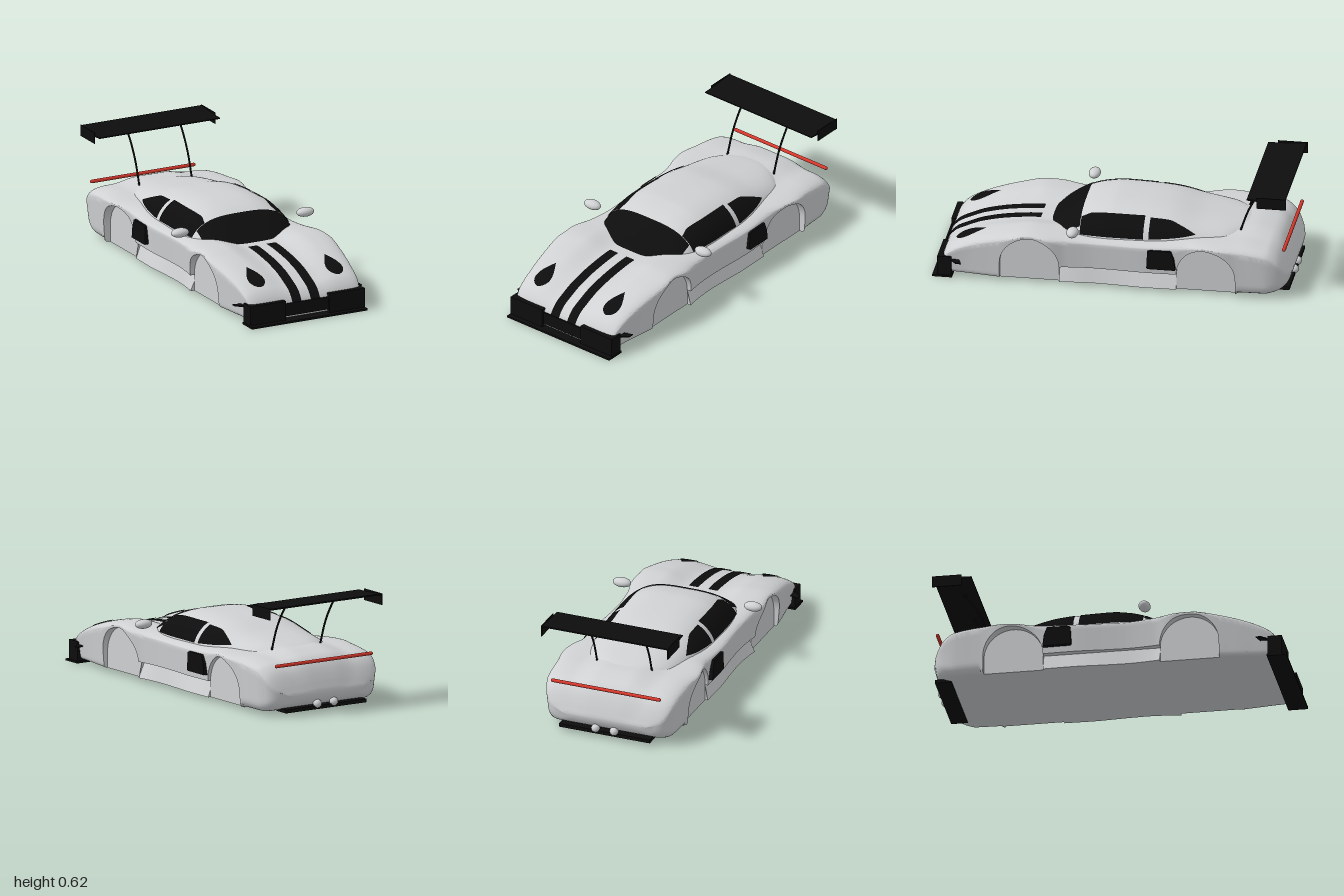
import * as THREE from 'three';
import { toCreasedNormals } from 'three/addons/utils/BufferGeometryUtils.js';

const paint = new THREE.MeshStandardMaterial({ color: 0xcfd1d3, side: THREE.DoubleSide });
paint.name = 'silver paint';
const black = new THREE.MeshStandardMaterial({ color: 0x0d0d0d, side: THREE.DoubleSide });
black.name = 'black trim';
const red = new THREE.MeshStandardMaterial({ color: 0xd8382c });
red.name = 'red light';

// Smooth monotone curve through [z, value] pairs listed from front to back
function curve(p) {
  const slope = i => (p[i + 1][1] - p[i][1]) / (p[i + 1][0] - p[i][0]);
  const tangent = i => {
    if (i === 0) return slope(0);
    if (i === p.length - 1) return slope(i - 1);
    const a = slope(i - 1), b = slope(i);
    return a * b > 0 ? 2 * a * b / (a + b) : 0;
  };
  return z => {
    z = Math.min(p[0][0], Math.max(p[p.length - 1][0], z));
    let i = 0;
    while (i < p.length - 2 && z < p[i + 1][0]) i++;
    const h = p[i + 1][0] - p[i][0], t = (z - p[i][0]) / h, t2 = t * t, t3 = t2 * t;
    return p[i][1] * (2 * t3 - 3 * t2 + 1) + tangent(i) * h * (t3 - 2 * t2 + t)
      + p[i + 1][1] * (3 * t2 - 2 * t3) + tangent(i + 1) * h * (t3 - t2);
  };
}

// Body curves: half width, shoulder edge, fender crown, centre line, underside
const width = curve([[.95, .335], [.9, .35], [.8, .362], [.7, .375], [.53, .392], [.45, .385], [.36, .395], [.25, .373],
  [.1, .362], [0, .365], [-.2, .375], [-.4, .372], [-.5, .39], [-.6, .405], [-.7, .395], [-.85, .388], [-.92, .37], [-.96, .335], [-.985, .25]]);
const edge = curve([[.95, .085], [.9, .145], [.75, .21], [.6, .25], [.45, .284], [.3, .262], [0, .255], [-.35, .26],
  [-.53, .284], [-.7, .268], [-.85, .245], [-.92, .2], [-.96, .15], [-.985, .115]]);
const fender = curve([[.95, .1], [.935, .135], [.885, .185], [.735, .25], [.57, .29], [.45, .306], [.3, .297], [.1, .283],
  [-.2, .285], [-.5, .303], [-.7, .303], [-.86, .285], [-.9, .265], [-.93, .235], [-.96, .18], [-.985, .12]]);
const centre = curve([[.95, .1], [.935, .125], [.9, .16], [.85, .185], [.75, .225], [.6, .256], [.45, .27], [.3, .272],
  [0, .28], [-.4, .31], [-.6, .33], [-.75, .327], [-.86, .307], [-.9, .288], [-.93, .255], [-.96, .195], [-.985, .125]]);
const under = curve([[.95, .02], [-.85, .018], [-.9, .028], [-.95, .05], [-.975, .075], [-.985, .105]]);
// Cabin curves
const BASE = .22;
const roof = curve([[.4, .25], [.36, .272], [.3, .315], [.18, .388], [.1, .412], [0, .425], [-.15, .421], [-.286, .41],
  [-.47, .37], [-.6, .35], [-.7, .333], [-.75, .318], [-.8, .28]]);
const cabinWidth = curve([[.4, .15], [.36, .2], [.27, .295], [.18, .315], [0, .325], [-.2, .325], [-.4, .315],
  [-.6, .285], [-.7, .21], [-.75, .14], [-.8, .06]]);

const bodyTop = (x, z) => {
  const a = Math.min(1, Math.abs(x) / width(z)), e = edge(z), f = fender(z), c = centre(z);
  if (a > .65) return e + (f - e) * Math.sqrt(Math.max(0, 1 - ((a - .65) / .35) ** 2.5));
  return c + (f - c) * THREE.MathUtils.smoothstep(a, .22, .62);
};
const bodySide = (y, z) => {
  const R = z < -.7 ? .05 : .02, b = under(z), e = edge(z);
  const d = Math.max(0, 1 - (y - b) / R);
  return width(z) - .02 * (e - y) / (e - b) - R * (1 - Math.sqrt(1 - Math.min(1, d * d)));
};
const cabinTop = (x, z) => BASE + (roof(z) - BASE) * Math.sqrt(Math.max(0, 1 - Math.abs(x / cabinWidth(z)) ** 3.2));
const cabinSide = (y, z) => cabinWidth(z) * Math.max(0, 1 - ((y - BASE) / (roof(z) - BASE)) ** 2) ** (1 / 3.2);

const ARCHES = [.455, -.527], R_ARCH = .165, Y_ARCH = .11;

// Right half of a body section, from underside centre to top centre
function bodySection(z) {
  const b = under(z);
  let ya = b, xb = bodySide(b, z), xt = xb;
  if (z < ARCHES[0] && z > ARCHES[1]) { ya = Y_ARCH; xb = width(z) - .014; xt = .325; }
  for (const c of ARCHES) {
    const d = Math.abs(z - c);
    if (d <= R_ARCH) { ya = Math.min(edge(z) - .004, Y_ARCH + Math.sqrt(R_ARCH ** 2 - d * d)); xb = xt = .343; }
  }
  const pts = [[0, b], [xb * .5, b], [xb, b], [xt, ya]];
  for (let j = 0; j <= 12; j++) {
    const y = ya + (edge(z) - ya) * (j / 12) ** 1.6;
    pts.push([bodySide(y, z), y]);
  }
  for (let j = 1; j <= 26; j++) {
    const x = j === 26 ? 0 : width(z) * Math.cos(j / 26 * Math.PI / 2);
    pts.push([x, bodyTop(x, z)]);
  }
  return pts;
}

function cabinSection(z) {
  const pts = [[0, BASE]];
  for (let j = 0; j <= 20; j++) {
    const x = j === 20 ? 0 : cabinWidth(z) * Math.cos(j / 20 * Math.PI / 2);
    pts.push([x, cabinTop(x, z)]);
  }
  return pts;
}

// Skin mirrored half sections along z, with closed ends
function loft(zs, section, crease) {
  const rings = zs.map(z => {
    const h = section(z);
    return [...h, ...h.slice(1, -1).reverse().map(([x, y]) => [-x, y])].map(([x, y]) => [x, y, z]);
  });
  const collapse = r => { const y = (r[0][1] + r[r.length >> 1][1]) / 2; return r.map(p => [0, y, p[2]]); };
  rings.unshift(collapse(rings[0]));
  rings.push(collapse(rings[rings.length - 1]));
  const n = rings[0].length, idx = [];
  for (let i = 0; i < rings.length - 1; i++) for (let j = 0; j < n; j++) {
    const a = i * n + j, c = i * n + (j + 1) % n, b = a + n, d = c + n;
    idx.push(a, b, c, c, b, d);
  }
  const g = new THREE.BufferGeometry();
  g.setAttribute('position', new THREE.Float32BufferAttribute(rings.flat(2), 3));
  g.setIndex(idx);
  return toCreasedNormals(g, crease);
}

// Thin painted sheet: fn(u, v) gives a point
function sheet(nu, nv, fn) {
  const g = new THREE.PlaneGeometry(1, 1, nu, nv), p = g.attributes.position;
  for (let i = 0; i < p.count; i++) p.setXYZ(i, ...fn(p.getX(i) + .5, p.getY(i) + .5));
  g.computeVertexNormals();
  return g;
}

const box = (x0, x1, y0, y1, z0, z1) =>
  new THREE.BoxGeometry(x1 - x0, y1 - y0, z1 - z0).translate((x0 + x1) / 2, (y0 + y1) / 2, (z0 + z1) / 2);
// Outline in (z, y), extruded along x
const slab = (pts, x0, x1) =>
  new THREE.ExtrudeGeometry(new THREE.Shape(pts.map(p => new THREE.Vector2(...p))), { depth: x1 - x0, bevelEnabled: false })
    .rotateY(-Math.PI / 2).translate(x1, 0, 0);

export function createModel() {
  const car = new THREE.Group();
  car.name = 'raceCar';
  const add = (name, geometry, material) => {
    const m = new THREE.Mesh(geometry, material);
    m.name = name;
    car.add(m);
    return m;
  };

  // Body shell with wheel arch recesses
  const zs = [-.985, -.98, -.97];
  for (let i = 0; i <= 150; i++) zs.push(.95 - i * 1.915 / 150);
  for (const c of ARCHES) {
    for (let i = 0; i <= 28; i++) zs.push(c + R_ARCH * .99999 * Math.cos(i / 28 * Math.PI));
    zs.push(c + R_ARCH + .0005, c - R_ARCH - .0005);
  }
  add('bodyShell', loft(zs.sort((a, b) => b - a), bodySection, .6), paint);
  add('cabin', loft(Array.from({ length: 81 }, (_, i) => .4 - i * .015), cabinSection, .7), paint);

  // Glass
  add('windshield', sheet(40, 20, (u, v) => {
    const z = .185 + .185 * v, x = (u - .5) * 2 * Math.min(.275, cabinWidth(z) * .93);
    return [x, cabinTop(x, z) + .004, z + .003];
  }), black);
  const frontTop = curve([[.185, .358], [.12, .382], [0, .392], [-.17, .39]]);
  const rearTop = curve([[-.2, .384], [-.3, .376], [-.38, .35], [-.455, .317]]);
  const rearSill = curve([[-.2, .288], [-.38, .304], [-.455, .315]]);

  for (const s of [1, -1]) {
    const side = s > 0 ? 'left' : 'right';
    const window = (z0, z1, low, high) => sheet(24, 12, (u, v) => {
      const z = z0 + (z1 - z0) * u, y = low(z) + (high(z) - low(z)) * v;
      return [s * (cabinSide(y, z) + .004), y + .002, z];
    });
    add(side + 'FrontWindow', window(.185, -.17, () => .286, frontTop), black);
    add(side + 'RearWindow', window(-.2, -.455, rearSill, rearTop), black);

    // Bonnet stripe and headlight
    add(side + 'Stripe', sheet(4, 60, (u, v) => {
      const x = s * (.029 + .057 * u), z = .43 + .52 * v;
      return [x, bodyTop(x, z) + .003, z + .003];
    }), black);
    add(side + 'Headlight', sheet(12, 24, (u, v) => {
      const x = s * .243 + (u - .5) * .096 * Math.sin(Math.PI * v ** .63), z = .877 - .167 * v;
      return [x, bodyTop(x, z) + .004, z + .002];
    }), black);

    // Side intake
    const vent = [[-.2, .15], [-.205, .25], [-.22, .256], [-.335, .256], [-.352, .21], [-.36, .145], [-.21, .145]];
    add(side + 'SideVent', slab(vent, s > 0 ? .335 : -.387, s > 0 ? .387 : -.335), black);

    // Door mirror
    const mirror = add(side + 'Mirror', new THREE.SphereGeometry(1, 28, 18), paint);
    mirror.scale.set(.053, .026, .033);
    mirror.position.set(s * .39, .338, .21);

    // Front bumper corner and canard
    add(side + 'BumperCorner', s > 0 ? box(.135, .356, .012, .122, .89, .968) : box(-.356, -.135, .012, .122, .89, .968), black);
    const fin = new THREE.Shape([[.34, -.9], [.365, -.885], [.395, -.86], [.395, -.83], [.34, -.85]]
      .map(([x, y]) => new THREE.Vector2(s * x, y)));
    add(side + 'Canard', new THREE.ExtrudeGeometry(fin, { depth: .006, bevelEnabled: false })
      .rotateX(-Math.PI / 2).translate(0, .1, 0), black);

    // Wing strut and end plate
    const path = new THREE.CatmullRomCurve3([[-.69, .315], [-.735, .44], [-.785, .53], [-.835, .597]]
      .map(([z, y]) => new THREE.Vector3(s * .163, y, z)));
    add(side + 'WingStrut', new THREE.TubeGeometry(path, 20, .0055, 8), black);
    add(side + 'WingEndPlate', box(s * .375 - .0025, s * .375 + .0025, .553, .617, -.977, -.812), black);

    // Exhaust tip
    const pipe = add(side + 'Exhaust', new THREE.SphereGeometry(.024, 20, 14), paint);
    pipe.position.set(s * .055, .05, -.972);
  }

  // Bumper centre, splitter, diffuser
  add('bumperCentre', box(-.14, .14, .03, .102, .89, .957), black);
  add('splitter', box(-.36, .36, 0, .011, .885, .995), black);
  add('diffuser', box(-.27, .27, .02, .04, -.978, -.885), black);

  // Rear wing and light bar
  add('rearWing', slab([[-.757, .597], [-.757, .603], [-.85, .606], [-.972, .615], [-.972, .607], [-.85, .59]], -.375, .375), black);
  add('rearLightBar', new THREE.CapsuleGeometry(.01, .635, 6, 14).rotateZ(Math.PI / 2).translate(0, .285, -.955), red);
  return car;
}
